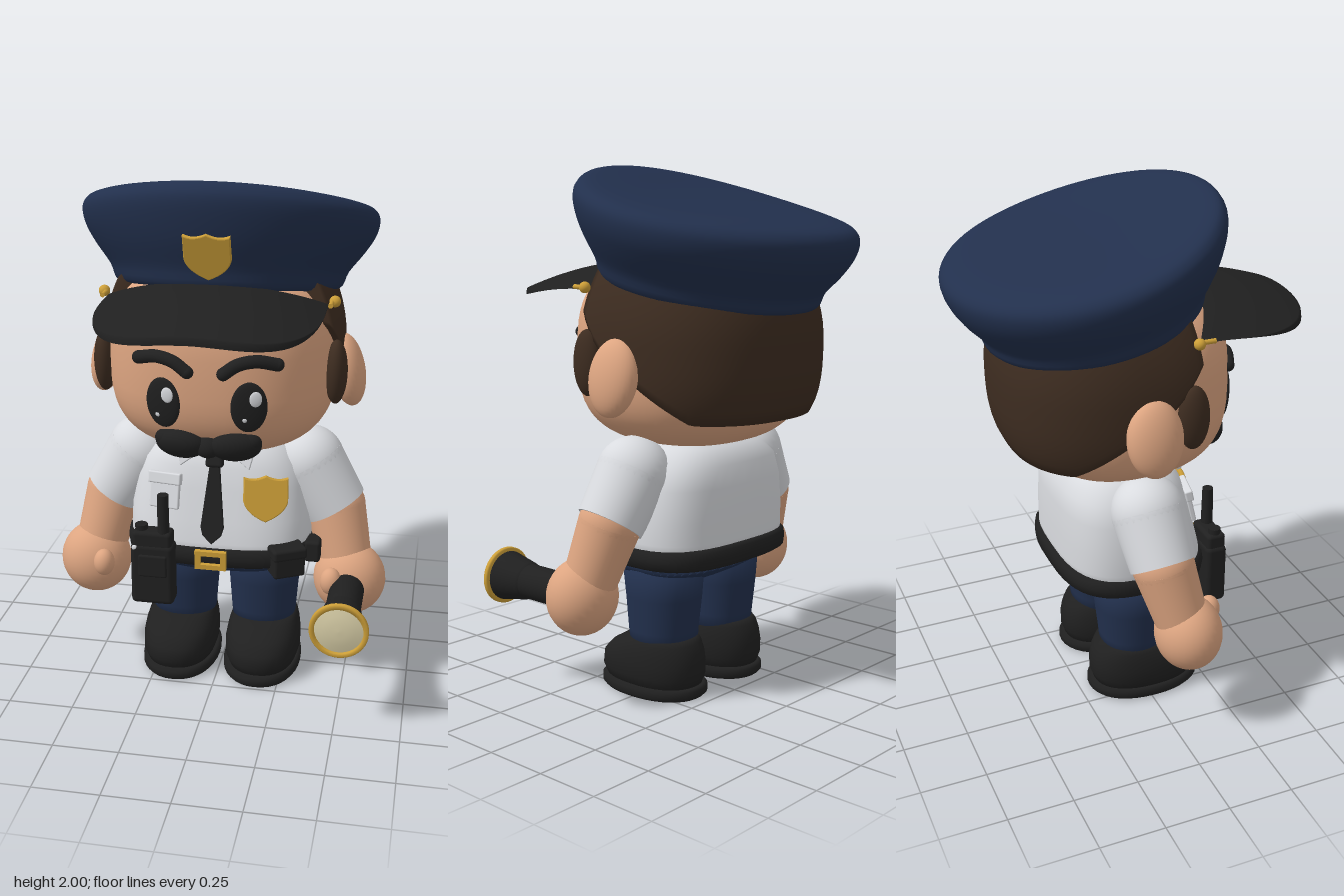
import * as THREE from 'three';
import { mergeVertices } from 'three/addons/utils/BufferGeometryUtils.js';
import { RoundedBoxGeometry } from 'three/addons/geometries/RoundedBoxGeometry.js';

const mat = (name, color, side = THREE.FrontSide) => new THREE.MeshStandardMaterial({ name, color, side });
const V = (x, y, z) => new THREE.Vector3(x, y, z);
const sp = (v, p) => Math.sign(v) * Math.abs(v) ** p;

// Smooth surface from fn(i, j) -> [x, y, z]; the i direction crossed with j faces out
function grid(nu, nv, fn) {
  const pos = [], idx = [];
  for (let j = 0; j <= nv; j++) for (let i = 0; i <= nu; i++) pos.push(...fn(i, j));
  for (let j = 0; j < nv; j++) for (let i = 0; i < nu; i++) {
    const a = j * (nu + 1) + i, d = a + nu + 1;
    idx.push(a, a + 1, d + 1, a, d + 1, d);
  }
  let g = new THREE.BufferGeometry();
  g.setAttribute('position', new THREE.Float32BufferAttribute(pos, 3));
  g.setIndex(idx);
  g = mergeVertices(g, 1e-5);
  g.computeVertexNormals();
  return g;
}

// Rounded body from rings of [y, half width, front z, back z], closed at both ends
function loft(rings, e = 2.4, n = 48) {
  const f = rings[0], l = rings[rings.length - 1];
  const cap = r => [r[0], 0.001, (r[2] + r[3]) / 2 + 0.001, (r[2] + r[3]) / 2 - 0.001];
  const all = [cap(f), ...rings, cap(l)];
  return grid(n, all.length - 1, (i, j) => {
    const [y, rx, zf, zb] = all[j], a = (i % n) / n * Math.PI * 2;
    return [rx * sp(Math.sin(a), 2 / e), y, (zf + zb) / 2 + (zf - zb) / 2 * sp(Math.cos(a), 2 / e)];
  });
}

// Depth of the face and of the shirt front at a point
const faceZ = (x, y) => {
  const t = y > 1.3 ? (y - 1.3) / 0.36 : (1.3 - y) / 0.345, h = (1 - t ** 3) ** (1 / 3);
  return -0.05 + 0.415 * h * (1 - (Math.abs(x) / (0.43 * h)) ** 2.4) ** (1 / 2.4);
};
const chestZ = (x, y) => -0.03 + (0.28 - 0.25 * (y - 0.62)) * (1 - (Math.abs(x) / 0.355) ** 3) ** (1 / 3);

// Stands a mesh on a surface z = f(x, y), turned to the surface normal
function stick(mesh, f, x, y, off = 0) {
  const d = 0.01;
  const n = V((f(x - d, y) - f(x + d, y)) / (2 * d), (f(x, y - d) - f(x, y + d)) / (2 * d), 1).normalize();
  mesh.position.set(x, y, f(x, y)).addScaledVector(n, off);
  mesh.quaternion.setFromUnitVectors(V(0, 0, 1), n);
  return mesh;
}

function outline(points, depth, bevel = 0) {
  return new THREE.ExtrudeGeometry(new THREE.Shape(points.map(p => new THREE.Vector2(...p))),
    { depth, bevelEnabled: bevel > 0, bevelSize: bevel, bevelThickness: bevel, bevelSegments: 2 });
}

function shieldGeometry() {
  const s = new THREE.Shape();
  s.moveTo(0, 0.082);
  s.quadraticCurveTo(0.045, 0.06, 0.08, 0.075);
  s.lineTo(0.08, -0.01);
  s.quadraticCurveTo(0.07, -0.055, 0, -0.085);
  s.quadraticCurveTo(-0.07, -0.055, -0.08, -0.01);
  s.lineTo(-0.08, 0.075);
  s.quadraticCurveTo(-0.045, 0.06, 0, 0.082);
  return new THREE.ExtrudeGeometry(s, { depth: 0.02, bevelSize: 0.004, bevelThickness: 0.004, bevelSegments: 2 });
}

export function createModel() {
  const root = new THREE.Group();
  root.name = 'officer';
  const navy = mat('navy', 0x22304d, THREE.DoubleSide), skin = mat('skin', 0xdda581);
  const hairBrown = mat('hairBrown', 0x3d2c20, THREE.DoubleSide), black = mat('black', 0x202020, THREE.DoubleSide);
  const shirt = mat('shirt', 0xd9dbdf), gold = mat('gold', 0xcd9f38), lensCream = mat('lensCream', 0xd9cfa8);

  const add = (name, geo, m, p = [0, 0, 0], s = [1, 1, 1], r = [0, 0, 0]) => {
    const mesh = new THREE.Mesh(geo, m);
    mesh.name = name;
    mesh.position.set(...p); mesh.scale.set(...s); mesh.rotation.set(...r);
    root.add(mesh);
    return mesh;
  };
  const ball = new THREE.SphereGeometry(1, 32, 20);
  const box = (w, h, d, r = 0.012) => new RoundedBoxGeometry(w, h, d, 3, r);
  const limb = (name, a, b, ra, rb, m) => {
    const mesh = add(name, new THREE.CylinderGeometry(rb, ra, a.distanceTo(b), 32), m);
    mesh.position.copy(a).lerp(b, 0.5);
    mesh.quaternion.setFromUnitVectors(V(0, 1, 0), b.clone().sub(a).normalize());
  };

  // Head
  add('head', grid(56, 32, (i, j) => {
    const a = (i % 56) / 56 * Math.PI * 2, p = (j / 32 - 0.5) * Math.PI;
    const c = Math.max(0, Math.cos(p)) ** (2 / 3), s = sp(Math.sin(p), 2 / 3), cz = sp(Math.cos(a), 2 / 2.4);
    return [0.43 * c * sp(Math.sin(a), 2 / 2.4), 1.3 + s * (s > 0 ? 0.36 : 0.345), -0.05 + c * cz * (cz > 0 ? 0.415 : 0.38)];
  }), skin);

  // Hair shell round the back, with a slanted lower edge turned inwards
  const edge = [[0.2, 1.53], [0.1, 1.42], [0.03, 1.34], [-0.17, 1.2], [-0.35, 1.08], [-0.6, 1.07]];
  const hairBottom = z => {
    const k = Math.max(1, edge.findIndex(e => e[0] <= z));
    return THREE.MathUtils.mapLinear(z, edge[k - 1][0], edge[k][0], edge[k - 1][1], edge[k][1]);
  };
  add('hair', grid(60, 14, (i, j) => {
    const a = 1.11 + i / 60 * (2 * Math.PI - 2.22);
    const x = 0.452 * sp(Math.sin(a), 2 / 2.4), z = 0.445 * sp(Math.cos(a), 2 / 2.4), y0 = hairBottom(z - 0.06);
    const y = y0 + (1.62 - y0) * Math.max(0, j - 1) / 13;
    const s = y < 1.35 ? (1 - ((1.35 - y) / 0.42) ** 3) ** (1 / 3) : 1 - 2.2 * (y - 1.35) ** 2;
    const k = s * (j === 0 || i === 0 || i === 60 ? 0.82 : 1);
    return [x * k, y, z * k - 0.06];
  }), hairBrown);

  // Face and ears
  for (const s of [1, -1]) {
    add('ear', ball, skin, [s * 0.465, 1.24, -0.07], [0.065, 0.142, 0.105], [0, 0, s * 0.2]);
    add('sideburn', ball, hairBrown, [s * 0.435, 1.28, 0.09], [0.042, 0.122, 0.06]);
    stick(add('eye', ball, black, [0, 0, 0], [0.066, 0.096, 0.016]), faceZ, s * 0.155, 1.215);
    stick(add('eyeGlint', ball, shirt, [0, 0, 0], [0.023, 0.029, 0.006]), faceZ, s * 0.155 + 0.021, 1.25, 0.014);
    stick(add('eyeSmallGlint', ball, shirt, [0, 0, 0], [0.01, 0.01, 0.005]), faceZ, s * 0.155 - 0.016, 1.172, 0.013);
    const brow = [[0.065, 1.338], [0.115, 1.372], [0.18, 1.384], [0.25, 1.368]].map(([x, y]) => V(s * x, y, faceZ(x, y)));
    add('eyebrow', new THREE.TubeGeometry(new THREE.CatmullRomCurve3(brow), 24, 0.024, 12), black);
    for (const p of [brow[0], brow[3]]) add('eyebrowEnd', ball, black, p.toArray(), [0.024, 0.024, 0.024]);
    stick(add('moustache', ball, black, [0, 0, 0], [0.095, 0.066, 0.05]), faceZ, s * 0.1, 1.055, 0.01);
    stick(add('moustacheTip', ball, black, [0, 0, 0], [0.05, 0.04, 0.035]), faceZ, s * 0.145, 1.07, 0.01);
  }
  stick(add('moustacheMiddle', ball, black, [0, 0, 0], [0.05, 0.042, 0.045]), faceZ, 0, 1.05, 0.01);

  // Cap crown, rings of [centre z, half width, half depth, y, tilt, dish]
  const cap = [[-0.12, 0.34, 0.31, 1.535, 0.07, 0], [-0.12, 0.42, 0.39, 1.54, 0.08, 0], [-0.125, 0.45, 0.412, 1.6, 0.09, 0],
    [-0.14, 0.505, 0.46, 1.67, 0.105, 0.01], [-0.152, 0.543, 0.49, 1.73, 0.115, 0.02], [-0.157, 0.557, 0.502, 1.785, 0.122, 0.027],
    [-0.157, 0.545, 0.49, 1.823, 0.124, 0.028], [-0.157, 0.505, 0.453, 1.845, 0.122, 0.03], [-0.157, 0.4, 0.36, 1.855, 0.095, 0.02],
    [-0.157, 0.2, 0.18, 1.857, 0.045, 0.005], [-0.157, 0, 0, 1.857, 0, 0]];
  const capLine = cap[0].map((_, k) => new THREE.CatmullRomCurve3(cap.map((r, i) => V(i, r[k], 0))));
  add('capCrown', grid(64, 40, (i, j) => {
    const a = (i % 64) / 64 * Math.PI * 2, c = Math.cos(a);
    const [zc, rx, rz, y, b, d] = capLine.map(l => l.getPoint(j / 40).y);
    return [rx * Math.sin(a), y + b * c + d * c * c, zc + rz * c];
  }), navy);

  // Arched visor, upper face out and lower face back
  add('visor', grid(40, 24, (i, j) => {
    const s = Math.sin((i / 20 - 1) * Math.PI / 2), t = 1 - Math.abs(j / 12 - 1), x = 0.405 * s;
    const zIn = 0.26 - 0.14 * s * s, zOut = 0.25 + 0.405 * Math.max(0, 1 - Math.abs(s) ** 3) ** (1 / 2.2);
    const z = zIn + (zOut - zIn) * Math.sin(t * Math.PI / 2);
    const thick = 0.022 * (1 - s ** 8) * (j > 12 ? 0 : 1);
    return [x, 1.64 - 0.37 * (z - 0.16) ** 2 - 0.6 * x * x - thick, z];
  }), black);
  for (const s of [1, -1]) {
    add('capButton', ball, gold, [s * 0.425, 1.55, 0.11], [0.021, 0.021, 0.021]);
    add('capButtonPin', new THREE.CylinderGeometry(0.009, 0.009, 0.06, 12), gold, [s * 0.415, 1.55, 0.145], [1, 1, 1], [Math.PI / 2, 0, 0]);
  }
  const shield = shieldGeometry();
  add('capBadge', shield, gold, [0, 1.745, 0.292], [1, 1.02, 1], [0.3, 0, 0]);

  // Shirt, belt and hips
  add('shirtBody', loft([[0.54, 0.355, 0.26, -0.3], [0.62, 0.357, 0.25, -0.3], [0.7, 0.355, 0.23, -0.3], [0.82, 0.338, 0.2, -0.297],
    [0.9, 0.31, 0.178, -0.285], [0.96, 0.25, 0.145, -0.24], [1, 0.15, 0.08, -0.15]], 3), shirt);
  add('belt', loft([[0.522, 0.345, 0.245, -0.295], [0.535, 0.366, 0.266, -0.315], [0.565, 0.37, 0.27, -0.318],
    [0.592, 0.366, 0.266, -0.315], [0.605, 0.35, 0.25, -0.3]], 3), black);
  add('hips', loft([[0.43, 0.15, 0.08, -0.12], [0.455, 0.26, 0.14, -0.17], [0.49, 0.305, 0.19, -0.23], [0.53, 0.335, 0.235, -0.285]], 2.8), navy);
  const buckle = new THREE.Shape([[-0.06, -0.037], [0.06, -0.037], [0.06, 0.037], [-0.06, 0.037]].map(p => new THREE.Vector2(...p)));
  buckle.holes.push(new THREE.Path([[-0.038, -0.018], [-0.038, 0.018], [0.038, 0.018], [0.038, -0.018]].map(p => new THREE.Vector2(...p))));
  add('buckle', new THREE.ExtrudeGeometry(buckle, { depth: 0.02, bevelEnabled: false }), gold, [0, 0.565, 0.266]);

  // Tie, collar, pocket and chest badge
  add('tie', outline([[0.016, 0.13], [0.04, -0.1], [0.032, -0.13], [0, -0.16], [-0.032, -0.13], [-0.04, -0.1], [-0.016, 0.13]], 0.012, 0.004),
    black, [0, 0.78, 0.207], [1, 1, 1], [-0.25, 0, 0]);
  add('tieKnot', box(0.066, 0.055, 0.045), black, [0, 0.935, 0.178], [1, 1, 1], [-0.3, 0, 0]);
  for (const s of [1, -1])
    add('collar', outline([[s * 0.03, 0.05], [s * 0.15, 0.05], [s * 0.13, -0.035], [s * 0.085, 0]], 0.015, 0.003), shirt, [0, 0.94, 0.163], [1, 1, 1], [-0.35, 0, 0]);
  stick(add('pocket', box(0.12, 0.13, 0.02, 0.006), shirt), chestZ, -0.19, 0.8);
  stick(add('pocketFlap', box(0.132, 0.045, 0.03, 0.006), shirt), chestZ, -0.19, 0.85, 0.003);
  stick(add('chestBadge', shield, gold), chestZ, 0.195, 0.8, -0.003);

  // Radio
  add('radioBody', box(0.165, 0.25, 0.085, 0.02), black, [-0.22, 0.5, 0.275]);
  add('radioTop', box(0.15, 0.07, 0.075, 0.015), black, [-0.22, 0.64, 0.275]);
  add('radioGrille', box(0.11, 0.09, 0.02, 0.008), black, [-0.215, 0.54, 0.315]);
  add('radioAntenna', new THREE.CylinderGeometry(0.021, 0.024, 0.2, 16), black, [-0.178, 0.725, 0.285]);
  add('radioKnob', new THREE.CylinderGeometry(0.024, 0.024, 0.04, 16), black, [-0.265, 0.675, 0.275]);
  add('radioLight', ball, shirt, [-0.285, 0.61, 0.312], [0.011, 0.011, 0.006]);

  // Belt pouches
  add('pouch', box(0.125, 0.11, 0.09), black, [0.28, 0.56, 0.215], [1, 1, 1], [0, 0.5, 0]);
  add('pouchFlap', box(0.135, 0.045, 0.105), black, [0.28, 0.602, 0.215], [1, 1, 1], [0, 0.5, 0]);
  add('sidePouch', box(0.06, 0.085, 0.09), black, [0.37, 0.565, 0.1]);

  // Arms, legs and shoes
  for (const s of [1, -1]) {
    const shoulder = V(s * 0.33, 0.873, -0.035), cuff = V(s * 0.44, 0.7, -0.02), wrist = V(s * 0.495, 0.48, 0.035);
    add('shoulder', ball, shirt, shoulder.toArray(), [0.14, 0.14, 0.14]);
    limb('sleeve', shoulder, cuff, 0.14, 0.125, shirt);
    add('elbow', ball, skin, cuff.toArray(), [0.117, 0.117, 0.117]);
    limb('forearm', cuff, wrist, 0.117, 0.1, skin);
    add('hand', ball, skin, [s * 0.51, 0.43, 0.055], [0.14, 0.145, 0.127]);
    add('thumb', ball, skin, [s * 0.447, 0.463, 0.17], [0.041, 0.054, 0.042]);
    add('trouserLeg', loft([[0.18, 0.125, 0.09, -0.155], [0.25, 0.13, 0.1, -0.16], [0.38, 0.14, 0.11, -0.175],
      [0.5, 0.147, 0.125, -0.185]], 2.2, 36), navy, [s * 0.163, 0, 0]);
    add('shoe', loft([[0.03, 0.13, 0.215, -0.185], [0.08, 0.147, 0.238, -0.203], [0.13, 0.148, 0.23, -0.203],
      [0.17, 0.142, 0.19, -0.195], [0.205, 0.132, 0.13, -0.178], [0.223, 0.118, 0.085, -0.16]], 2.3, 36), black, [s * 0.168, 0, 0]);
    add('sole', loft([[0, 0.145, 0.235, -0.2], [0.012, 0.154, 0.246, -0.212], [0.035, 0.154, 0.246, -0.212],
      [0.045, 0.142, 0.23, -0.2]], 2.2, 36), black, [s * 0.166, 0, 0]);
  }

  // Torch in the left hand
  const lathe = pts => new THREE.LatheGeometry(pts.map(p => new THREE.Vector2(...p)), 40);
  const torch = (name, pts, m) => add(name, lathe(pts), m, [0.51, 0.43, 0], [1, 1, 1], [Math.PI / 2, 0, 0]);
  torch('torchHandle', [[0, 0.1], [0.066, 0.1], [0.066, 0.345]], black);
  torch('torchHead', [[0.066, 0.34], [0.072, 0.35], [0.095, 0.472]], black);
  torch('torchRim', [[0.09, 0.468], [0.105, 0.468], [0.109, 0.474], [0.109, 0.485], [0.105, 0.49], [0.09, 0.49], [0.09, 0.47]], gold);
  torch('torchLens', [[0.092, 0.478], [0.06, 0.486], [0.03, 0.49], [0, 0.491]], lensCream);
  return root;
}
